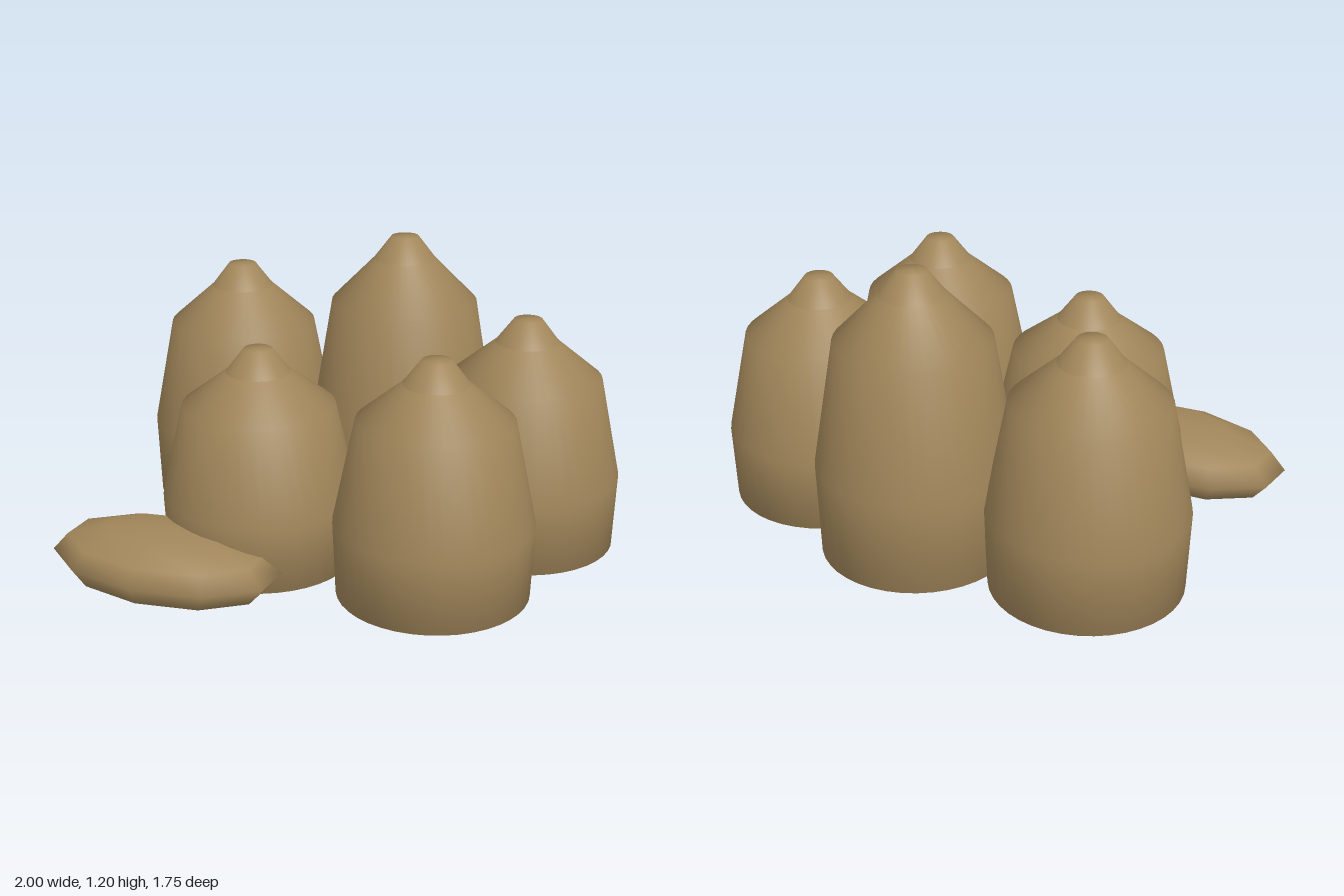
import * as THREE from 'three';

const burlap = new THREE.MeshStandardMaterial({ color: 0xa1865a });
burlap.name = 'burlap';

const NECK = 0.09; // height of the tied neck

function lathe(points, segments) {
  return new THREE.LatheGeometry(points.map(([r, y]) => new THREE.Vector2(r, y)), segments);
}

function part(name, geometry, y = 0) {
  const mesh = new THREE.Mesh(geometry, burlap);
  mesh.name = name;
  mesh.position.y = y;
  return mesh;
}

// A full sack: bulging body with a narrow tied neck
function standingSack(x, z, height) {
  const h = height - NECK;
  const body = lathe([
    [0, 0], [0.22, 0], [0.363, 0.08 * h], [0.375, 0.4 * h],
    [0.293, 0.843 * h], [0.123, h],
  ], 40);
  const neck = lathe([[0.123, 0], [0.055, NECK], [0, NECK]], 40);
  const sack = new THREE.Group();
  sack.name = 'standingSack';
  sack.add(part('sackBody', body), part('sackNeck', neck, h));
  sack.position.set(x, 0, z);
  return sack;
}

export function createModel() {
  const model = new THREE.Group();
  model.name = 'sackPile';

  // Upright sacks: x, z, height
  const sacks = [
    [-0.625, -0.355, 1.05],
    [0.035, -0.5, 1.2],
    [0.62, -0.32, 0.98],
    [-0.26, 0.23, 0.91],
    [0.475, 0.27, 0.98],
  ];
  for (const [x, z, height] of sacks) model.add(standingSack(x, z, height));

  // Flat sack lying in front: a coarse squashed ball
  const ball = new THREE.SphereGeometry(1, 10, 6);
  ball.rotateY(Math.PI / 2);
  ball.scale(0.47, 0.14, 0.275);
  const lying = part('lyingSack', ball);
  lying.position.set(-0.477, 0.148, 0.597);
  model.add(lying);

  return model;
}
